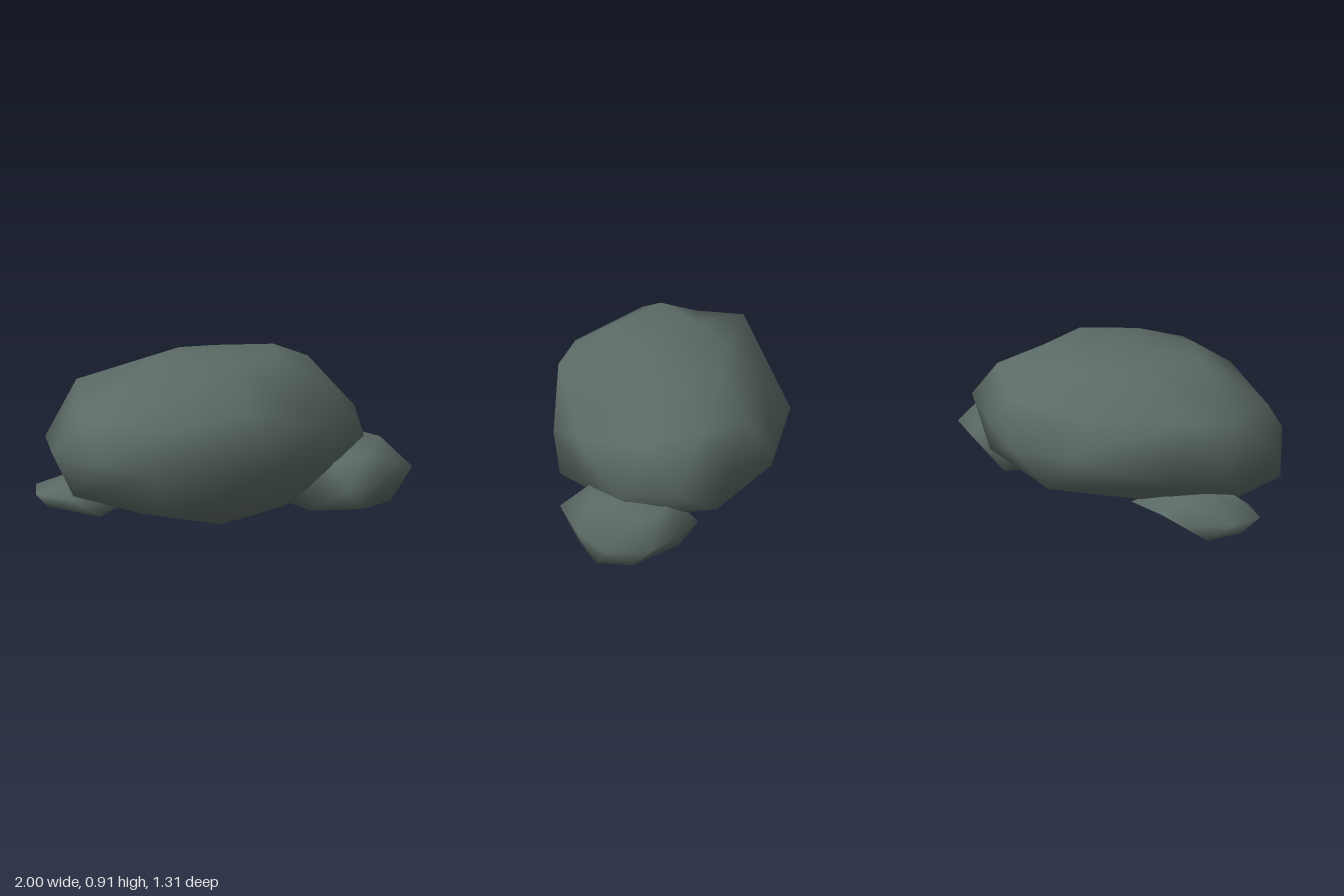
import * as THREE from 'three';
import { ConvexGeometry } from 'three/addons/geometries/ConvexGeometry.js';
import { mergeVertices } from 'three/addons/utils/BufferGeometryUtils.js';

// A rough boulder: corner points joined as on a ball, so dents stay possible,
// and shaded like an ellipsoid
function makeRock(name, corners, material) {
  const points = corners.map((c) => new THREE.Vector3(...c));
  const box = new THREE.Box3().setFromPoints(points);
  const center = box.getCenter(new THREE.Vector3());
  const radii = box.getSize(new THREE.Vector3()).multiplyScalar(0.5);
  const directions = points.map((p) => p.clone().sub(center).divide(radii).normalize());

  const ball = new ConvexGeometry(directions);
  ball.deleteAttribute('normal');
  const geometry = mergeVertices(ball, 1e-4);

  // Move each vertex of the ball out to its corner
  const position = geometry.attributes.position;
  const normals = new Float32Array(position.count * 3);
  const v = new THREE.Vector3();
  for (let i = 0; i < position.count; i++) {
    v.fromBufferAttribute(position, i);
    const corner = directions.findIndex((d) => d.distanceTo(v) < 1e-3);
    position.setXYZ(i, ...points[corner].toArray());
    v.divide(radii).normalize().toArray(normals, i * 3);
  }
  geometry.setAttribute('normal', new THREE.BufferAttribute(normals, 3));

  const mesh = new THREE.Mesh(geometry, material);
  mesh.name = name;
  return mesh;
}

export function createModel() {
  const stone = new THREE.MeshStandardMaterial({ color: 0x5c6b66 });
  stone.name = 'grey green stone';

  const group = new THREE.Group();
  group.name = 'rockCluster';

  group.add(makeRock('mainBoulder', [
    // crown
    [-0.1, 0.91, 0.05], [-0.5, 0.9, 0.02], [0.38, 0.87, -0.05], [0.27, 0.89, 0.18],
    [-0.03, 0.89, 0.29], [-0.35, 0.84, 0.33], [-0.3, 0.885, -0.17], [-0.07, 0.85, -0.31],
    [0.14, 0.84, -0.27],
    // shoulders
    [0.64, 0.74, -0.12], [0.62, 0.66, 0.2], [-0.88, 0.65, 0.09], [-0.8, 0.66, -0.2],
    [-0.17, 0.73, 0.61], [-0.05, 0.66, -0.5],
    // upper waist
    [0.38, 0.57, 0.54], [-0.5, 0.68, 0.49], [0.45, 0.67, -0.39], [-0.64, 0.72, -0.45],
    // waist
    [0.85, 0.46, 0.03], [-1, 0.45, -0.1], [0, 0.4, 0.65], [-0.02, 0.48, -0.66],
    [0.72, 0.4, 0.36], [0.64, 0.46, -0.27], [-0.91, 0.47, 0.22], [-0.85, 0.43, -0.43],
    [-0.7, 0.42, 0.48],
    // lower waist
    [0.42, 0.3, 0.5], [-0.36, 0.27, 0.61], [0.39, 0.43, -0.54], [-0.55, 0.33, -0.48],
    // lower slopes
    [0.65, 0.23, 0.2], [0.65, 0.25, -0.2], [-0.96, 0.24, 0.07], [-0.81, 0.19, -0.16],
    [-0.6, 0.19, 0.48], [0.2, 0.25, 0.63], [0.17, 0.23, -0.54],
    // underside
    [0.2, 0.075, 0.37], [-0.21, 0.045, 0.39], [0.2, 0.12, -0.3], [-0.46, 0.14, -0.27],
    [0.33, 0.05, 0], [-0.5, 0.05, 0.02], [-0.1, 0.005, 0.05],
  ], stone));

  group.add(makeRock('leftFrontRock', [
    // top
    [0.64, 0.36, 0.31], [0.88, 0.34, 0.26], [0.41, 0.31, 0.28], [0.44, 0.32, 0.48],
    [0.66, 0.33, 0.5], [0.68, 0.33, 0.06], [0.82, 0.345, 0.12],
    // girth
    [0.46, 0.2, 0.65], [0.75, 0.2, 0.58], [0.98, 0.2, 0.44], [1, 0.2, 0.2],
    [0.85, 0.2, 0.03], [0.62, 0.16, -0.1], [0.38, 0.18, 0.02], [0.28, 0.1, 0.3],
    // base
    [0.61, 0.045, 0.55], [0.82, 0.04, 0.48], [0.88, 0.05, 0.28], [0.61, 0, 0.28],
    [0.35, 0.04, 0.42], [0.65, 0.03, 0.01], [0.29, 0.05, 0.22],
  ], stone));

  group.add(makeRock('rightRearRock', [
    // top
    [-0.7, 0.24, -0.3], [-0.58, 0.22, -0.41], [-0.8, 0.22, -0.22], [-0.42, 0.23, -0.31],
    // girth
    [-0.985, 0.15, -0.3], [-0.89, 0.15, -0.46], [-0.64, 0.13, -0.535], [-0.48, 0.16, -0.49],
    [-0.24, 0.14, -0.34], [-0.35, 0.14, -0.1], [-0.65, 0.12, -0.02], [-0.85, 0.14, -0.13],
    // base
    [-0.89, 0.055, -0.34], [-0.73, 0.03, -0.45], [-0.61, 0, -0.28], [-0.68, 0.02, -0.12],
    [-0.42, 0.05, -0.25],
  ], stone));

  return group;
}
